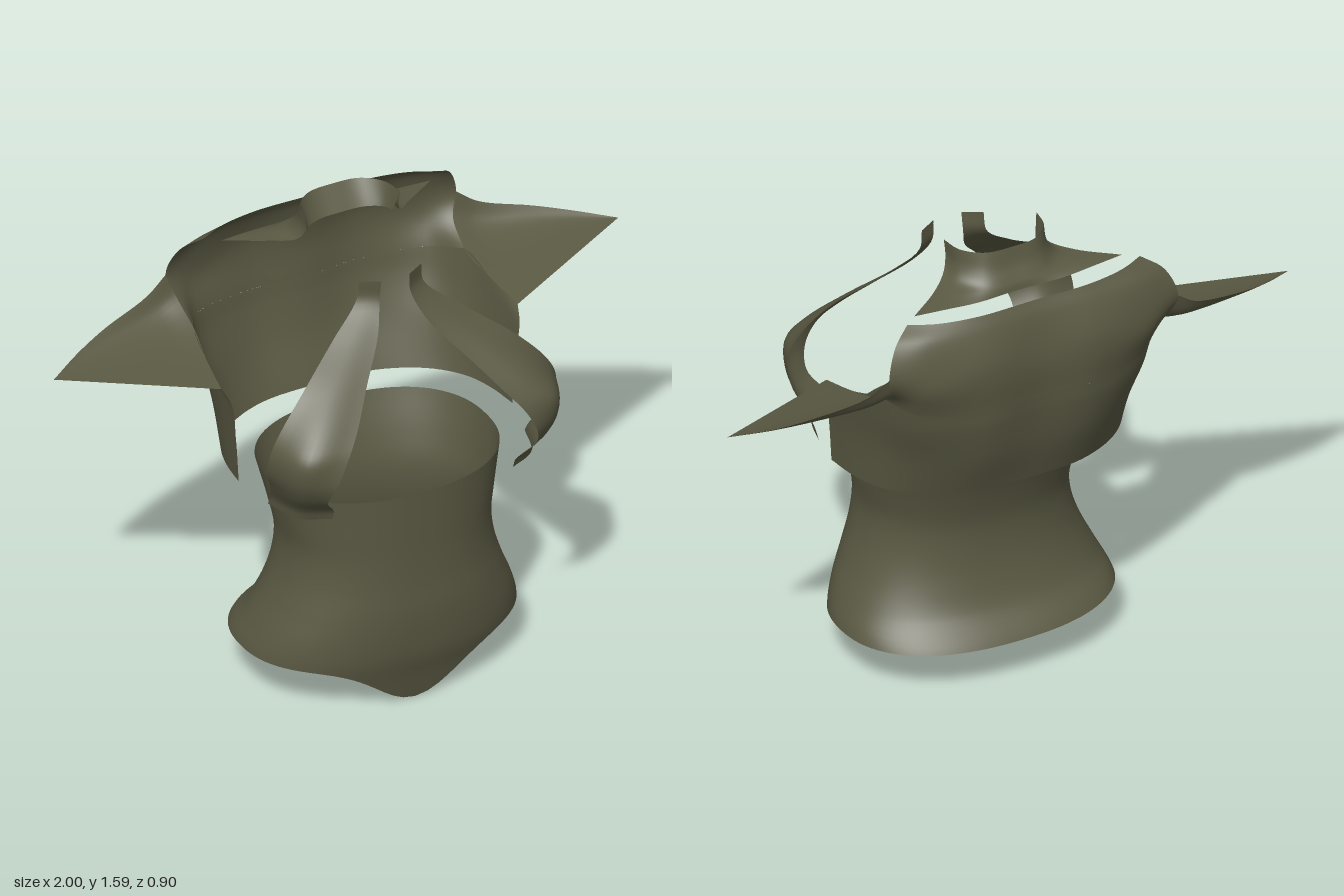
import * as THREE from 'three';
import { mergeVertices } from 'three/addons/utils/BufferGeometryUtils.js';

const cloth = new THREE.MeshStandardMaterial({ color: 0x5a5943, side: THREE.DoubleSide });
cloth.name = 'olive cloth';

// Smooth surface from a function of (i, j) on an nu x nv grid
function grid(name, nu, nv, at) {
  const pos = [], idx = [];
  for (let i = 0; i <= nu; i++) for (let j = 0; j <= nv; j++) pos.push(...at(i / nu, j / nv).toArray());
  for (let i = 0; i < nu; i++) for (let j = 0; j < nv; j++) {
    const a = i * (nv + 1) + j, b = a + nv + 1;
    idx.push(a, a + 1, b, b, a + 1, b + 1);
  }
  let g = new THREE.BufferGeometry();
  g.setAttribute('position', new THREE.Float32BufferAttribute(pos, 3));
  g.setIndex(idx);
  g = mergeVertices(g, 1e-5);
  g.computeVertexNormals();
  const mesh = new THREE.Mesh(g, cloth);
  mesh.name = name;
  return mesh;
}

// Smooth skin over rows of control points
function loft(name, rows, nu = 24, nv = 40) {
  const across = rows.map(r => new THREE.CatmullRomCurve3(r.map(p => new THREE.Vector3(...p))));
  const cols = [];
  for (let j = 0; j <= nv; j++) cols.push(new THREE.CatmullRomCurve3(across.map(c => c.getPoint(j / nv))));
  return grid(name, nu, nv, (u, v) => cols[Math.round(v * nv)].getPoint(u));
}

const flip = ([x, y, z]) => [-x, y, z];
// Half row starting at the middle, completed on the other side
const full = r => [...r.slice(1).reverse().map(flip), ...r];
const flat = (y, pts) => pts.map(([x, z]) => [x, y, z]);

// Waist: y -> half width, front z, back z
function waist() {
  const ys = [0, 0.1, 0.17, 0.25, 0.35, 0.45, 0.55, 0.65, 0.785];
  const vals = [
    0.468, 0.30, -0.31, 0.468, 0.325, -0.31, 0.466, 0.345, -0.31, 0.435, 0.355, -0.24, 0.39, 0.36, -0.20,
    0.357, 0.356, -0.183, 0.345, 0.355, -0.185, 0.36, 0.357, -0.21, 0.387, 0.36, -0.26];
  const profile = new THREE.CubicInterpolant(ys, vals, 3);
  const bend = v => Math.sign(v) * Math.abs(v) ** 0.87;
  return grid('waist', 32, 96, (u, v) => {
    const a = v * Math.PI * 2, sx = bend(Math.sin(a)), sz = bend(Math.cos(a));
    // Hem dips to a point at the front
    const hem = sz > 0 ? 0.17 * (1 - Math.exp(-((0.468 * sx / 0.19) ** 2))) : 0.17;
    const y = THREE.MathUtils.lerp(hem, 0.785, u);
    const [w, f, b] = profile.evaluate(y);
    return new THREE.Vector3(w * sx, y, (f + b) / 2 + (f - b) / 2 * sz);
  });
}

export function createModel() {
  const model = new THREE.Group();
  model.name = 'bodice';
  model.add(waist());

  // Back panel, wrapping round to the sides
  const seam = [[0, 1.14, -0.432], [0.2, 1.14, -0.443], [0.41, 1.16, -0.375],
    [0.48, 1.19, -0.27], [0.505, 1.145, -0.13], [0.525, 1.12, 0]];
  model.add(loft('backPanel', [
    flat(0.79, [[0, -0.348], [0.2, -0.335], [0.35, -0.265], [0.435, -0.17], [0.47, -0.07], [0.485, 0.04]]),
    flat(0.95, [[0, -0.4], [0.2, -0.4], [0.37, -0.315], [0.45, -0.2], [0.483, -0.08], [0.495, 0.04]]),
    flat(1.08, [[0, -0.425], [0.2, -0.435], [0.4, -0.355], [0.47, -0.23], [0.5, -0.09], [0.51, 0.04]]),
    seam].map(full), 24, 60));

  // Upper back, between the shoulders
  model.add(loft('upperBack', [
    seam.slice(0, 4),
    flat(1.25, [[0, -0.44], [0.2, -0.455], [0.4, -0.42], [0.49, -0.36]]),
    flat(1.325, [[0, -0.432], [0.2, -0.45], [0.4, -0.42], [0.515, -0.385]]),
    flat(1.42, [[0, -0.408], [0.2, -0.415], [0.38, -0.395], [0.48, -0.36]]),
    flat(1.465, [[0, -0.385], [0.2, -0.385], [0.33, -0.36], [0.415, -0.32]])].map(full), 24, 60));

  // Raised collar with a folded-in lining
  const rim = flat(1.585, [[0, -0.245], [0.09, -0.235], [0.15, -0.18], [0.165, -0.105]]);
  model.add(loft('collar', [
    rim,
    flat(1.53, [[0, -0.26], [0.1, -0.25], [0.155, -0.19], [0.165, -0.115]]),
    flat(1.493, [[0, -0.28], [0.11, -0.27], [0.175, -0.21], [0.185, -0.14]]),
    flat(1.474, [[0, -0.29], [0.13, -0.285], [0.22, -0.25], [0.25, -0.2]]),
    [[0, 1.455, -0.295], [0.15, 1.457, -0.302], [0.27, 1.462, -0.295], [0.37, 1.464, -0.285]]].map(full)));
  model.add(loft('collarLining', [rim,
    flat(1.51, [[0, -0.19], [0.08, -0.185], [0.13, -0.16], [0.15, -0.125]])].map(full), 6));

  // Shoulder point: a sheet running from the armhole to a tip
  const tip = [1, 1.175, -0.22];
  const root = [...seam.slice(3).reverse(), [0.49, 1.25, -0.36], [0.515, 1.325, -0.385]];
  const shoulder = [[0, 0, 0], [0.15, -0.028, -0.012], [0.5, -0.02, -0.03], [0.75, -0.012, -0.025], [1, 0, 0]]
    .map(([t, dy, dz]) => root.map((p, k) => {
      const s = (k / (root.length - 1)) ** 2;
      return p.map((c, n) => THREE.MathUtils.lerp(c, tip[n], t) + [0, dy, dz][n] * s);
    }));

  // Front strap: y, inner x, inner z, outer x, outer z, bulge
  const strap = [
    [1.468, 0.05, 0.17, 0.11, 0.135, 0], [1.4, 0.055, 0.168, 0.12, 0.135, 0],
    [1.31, 0.09, 0.222, 0.225, 0.178, 0.005], [1.2, 0.18, 0.315, 0.375, 0.255, 0.015],
    [1.1, 0.26, 0.4, 0.47, 0.285, 0.035], [1.03, 0.315, 0.44, 0.505, 0.285, 0.045],
    [0.95, 0.355, 0.445, 0.505, 0.265, 0.035], [0.88, 0.368, 0.41, 0.48, 0.235, 0.03],
    [0.81, 0.322, 0.362, 0.457, 0.195, 0.035], [0.775, 0.32, 0.35, 0.455, 0.175, 0.035],
  ].map(([y, xi, zi, xo, zo, b]) =>
    [[xi, y, zi], [(xi + xo) / 2 + b * 0.7, y, (zi + zo) / 2 + b], [xo, y, zo]]);

  for (const [side, turn] of [['left', p => p], ['right', flip]]) {
    model.add(loft(side + 'ShoulderPoint', shoulder.map(r => r.map(turn)), 24, 20));
    model.add(loft(side + 'FrontStrap', strap.map(r => r.map(turn)), 48, 12));
  }
  return model;
}
